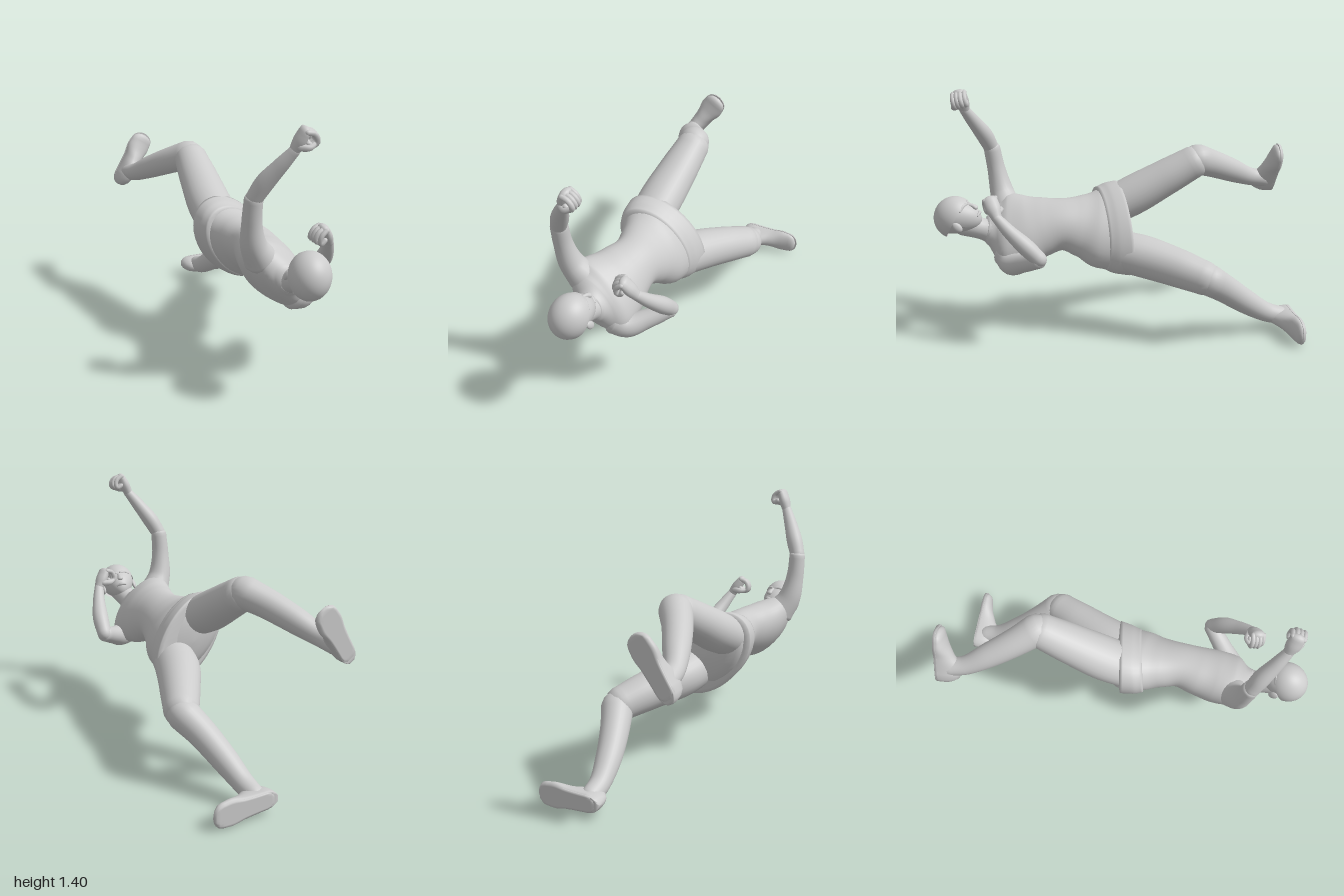
import * as THREE from 'three';

const V = (x, y, z) => new THREE.Vector3(x, y, z);
const mat = new THREE.MeshStandardMaterial({ color: 0xcccccc });
const ACROSS = V(0.66, -0.75, 0); // shoulder-to-shoulder direction of the twisted torso

// Smooth closed loft through rows [x, y, z, radiusAlongRef, otherRadius], with domed ends
function loft(rows, ref = ACROSS, { seg = 24, steps = 20, bulge = 1, rule } = {}) {
  const path = new THREE.CatmullRomCurve3(rows.map(r => V(r[0], r[1], r[2])));
  const size = new THREE.CatmullRomCurve3(rows.map(r => V(r[3], r[4] ?? r[3], 0)), false, 'catmullrom', 0.4);
  const rings = [], dome = [0.06, 0.35, 0.65, 0.9];
  const add = (t, scale, shift) => rings.push({ t, scale, shift });
  dome.forEach(s => add(0, s, -Math.sqrt(1 - s * s)));
  for (let i = 0; i <= steps; i++) add(i / steps, 1, 0);
  [...dome].reverse().forEach(s => add(1, s, Math.sqrt(1 - s * s)));
  const pos = [], idx = [];
  rings.forEach(({ t, scale, shift }) => {
    const c = path.getPoint(t), tan = path.getTangent(t), s = size.getPoint(t);
    const e1 = ref.clone().addScaledVector(tan, -ref.dot(tan)).normalize();
    const e2 = tan.clone().cross(e1);
    c.addScaledVector(tan, shift * bulge * Math.min(s.x, s.y));
    for (let j = 0; j < seg; j++) {
      const q = (j / seg) * Math.PI * 2;
      const p = c.clone().addScaledVector(e1, Math.cos(q) * s.x * scale)
        .addScaledVector(e2, Math.sin(q) * s.y * scale);
      if (rule) rule(p);
      pos.push(p.x, p.y, p.z);
    }
  });
  const n = rings.length - 1;
  for (let i = 0; i < n; i++) {
    for (let j = 0; j < seg; j++) {
      const a = i * seg + j, b = i * seg + (j + 1) % seg;
      idx.push(a, b, a + seg, b, b + seg, a + seg);
    }
  }
  // close both poles
  for (let j = 1; j < seg - 1; j++) {
    idx.push(0, j + 1, j, n * seg, n * seg + j, n * seg + j + 1);
  }
  const g = new THREE.BufferGeometry();
  g.setAttribute('position', new THREE.Float32BufferAttribute(pos, 3));
  g.setIndex(idx);
  g.computeVertexNormals();
  return g;
}

function part(parent, name, geometry) {
  const m = new THREE.Mesh(geometry, mat);
  m.name = name;
  parent.add(m);
  return m;
}

// Fist: palm from wrist to knuckles, four fingers curled towards `curl`, and a thumb
function fist(name, wrist, knuckle, curl) {
  const g = new THREE.Group();
  g.name = name;
  const up = knuckle.clone().sub(wrist).normalize();
  const c = curl.clone().addScaledVector(up, -curl.dot(up)).normalize();
  const side = up.clone().cross(c);
  const at = (u, f, s) => knuckle.clone().addScaledVector(up, u).addScaledVector(c, f).addScaledVector(side, s);
  const row = (p, a, b) => [p.x, p.y, p.z, a, b];
  part(g, 'palm', loft([row(wrist, 0.028, 0.026), row(wrist.clone().lerp(knuckle, 0.5), 0.04, 0.031),
    row(knuckle, 0.04, 0.025)], side, { seg: 16, steps: 8 }));
  for (let i = 0; i < 4; i++) {
    const s = (i - 1.5) * 0.02, k = i === 3 ? -0.01 : 0;
    const pts = [at(0.006, 0, s), at(0.012 + k, 0.036, s), at(-0.015 + k, 0.068 + k, s),
      at(-0.044, 0.053, s), at(-0.04, 0.03, s)];
    part(g, 'finger', loft(pts.map(p => row(p, 0.0135)), side, { seg: 8, steps: 10 }));
  }
  const thumb = [at(-0.07, 0.005, -0.025), at(-0.055, 0.035, -0.042), at(-0.03, 0.062, -0.03)];
  part(g, 'thumb', loft(thumb.map((p, i) => row(p, 0.019 - i * 0.003)), up, { seg: 8, steps: 8 }));
  return g;
}

// Shoe standing on the plane z = -1, running from heel to toe
function shoe(name, heel, toe) {
  const g = new THREE.Group();
  g.name = name;
  const dir = V(toe[0] - heel[0], toe[1] - heel[1], 0);
  const w = V(0, 0, 1).cross(dir).normalize();
  const rows = (grow, tall) => [[0, 0.048, 0.115], [0.22, 0.05, 0.115], [0.5, 0.055, 0.075], [0.78, 0.068, 0.045], [1, 0.064, 0.03]]
    .map(([t, a, b]) => [heel[0] + dir.x * t, heel[1] + dir.y * t, -0.978, a * grow, tall ?? b]);
  part(g, 'upper', loft(rows(1), w, { bulge: 1.4, rule: p => { p.z = Math.max(p.z, -0.998); } }));
  part(g, 'sole', loft(rows(1.05, 0.045), w, { bulge: 1.15, rule: p => { p.z = THREE.MathUtils.clamp(p.z, -1, -0.982); } }));
  return g;
}

function makeHead() {
  const g = new THREE.Group();
  g.name = 'head';
  const up = V(-0.1, 0.68, 0.72).normalize();
  const fwd = V(0.25, 0.7, -0.68);
  fwd.addScaledVector(up, -fwd.dot(up)).normalize();
  g.quaternion.setFromRotationMatrix(new THREE.Matrix4().makeBasis(up.clone().cross(fwd), up, fwd));
  g.position.set(-0.08, 0.695, 0.89);
  // skull narrowing into a forward jaw
  const skull = new THREE.SphereGeometry(1, 40, 28);
  const p = skull.attributes.position;
  for (let i = 0; i < p.count; i++) {
    const x = p.getX(i), y = p.getY(i), z = p.getZ(i), t = Math.max(0, -y);
    p.setXYZ(i, x * 0.1 * (1 - 0.2 * t), y * (y > 0 ? 0.108 : 0.13), z * 0.116 * (1 - 0.15 * t) + 0.06 * t);
  }
  skull.computeVertexNormals();
  part(g, 'face', skull);
  // close-fitting cap, tilted back off the brow
  const cap = part(g, 'cap', new THREE.SphereGeometry(1, 40, 20, 0, Math.PI * 2, 0, Math.PI * 0.54));
  cap.scale.set(0.105, 0.113, 0.12);
  cap.rotation.x = -0.25;
  cap.material = mat.clone();
  cap.material.side = THREE.DoubleSide;
  part(g, 'nose', loft([[0, -0.005, 0.112, 0.009, 0.008], [0, -0.03, 0.125, 0.013, 0.012], [0, -0.048, 0.131, 0.018, 0.012]],
    V(1, 0, 0), { seg: 12, steps: 8 }));
  part(g, 'lips', loft([[-0.026, -0.084, 0.112, 0.006], [0, -0.082, 0.122, 0.01], [0.026, -0.084, 0.112, 0.006]],
    V(0, 1, 0), { seg: 10, steps: 8 }));
  for (const s of [-1, 1]) {
    part(g, 'brow', loft([[s * 0.014, 0.004, 0.112, 0.008], [s * 0.04, 0.01, 0.102, 0.01], [s * 0.068, 0.004, 0.082, 0.007]],
      V(0, 1, 0), { seg: 10, steps: 8 }));
    const ear = part(g, 'ear', new THREE.SphereGeometry(1, 16, 12));
    ear.scale.set(0.012, 0.032, 0.021);
    ear.position.set(s * 0.099, -0.042, 0.016);
    ear.rotation.y = s * -0.35;
  }
  return g;
}

export function createModel() {
  const model = new THREE.Group();
  model.name = 'recliningFigure';

  // torso, neck and hem
  part(model, 'torso', loft([
    [-0.055, 0.6, -0.02, 0.25, 0.155], [-0.06, 0.605, 0.1, 0.235, 0.152], [-0.06, 0.622, 0.2, 0.182, 0.13],
    [-0.06, 0.635, 0.3, 0.15, 0.118], [-0.073, 0.622, 0.4, 0.172, 0.128], [-0.082, 0.605, 0.5, 0.206, 0.134],
    [-0.088, 0.602, 0.6, 0.224, 0.12], [-0.09, 0.605, 0.66, 0.172, 0.094], [-0.085, 0.61, 0.705, 0.09, 0.07]],
  ACROSS, { seg: 40, steps: 40, bulge: 0.4 }));
  part(model, 'hem', loft([
    [-0.06, 0.605, 0.085, 0.246, 0.157], [-0.059, 0.602, 0.03, 0.27, 0.174], [-0.056, 0.602, -0.04, 0.283, 0.184]],
  ACROSS, { seg: 40, steps: 10, bulge: 0.06, rule: p => { p.z -= 0.2 * (p.x + 0.06); } }));
  part(model, 'neck', loft([[-0.085, 0.595, 0.66, 0.085, 0.075], [-0.08, 0.62, 0.74, 0.06, 0.06], [-0.08, 0.655, 0.84, 0.067]]));
  part(model, 'collar', loft([[-0.086, 0.605, 0.675, 0.1, 0.08], [-0.083, 0.615, 0.715, 0.072, 0.066]], ACROSS, { bulge: 0.15 }));
  model.add(makeHead());

  // raised arm
  part(model, 'raisedSleeve', loft([[-0.19, 0.7, 0.6, 0.085], [-0.242, 0.79, 0.626, 0.066], [-0.264, 0.92, 0.652, 0.05],
    [-0.265, 1.04, 0.672, 0.046]], V(0, 0, 1), { bulge: 0.5 }));
  part(model, 'raisedForearm', loft([[-0.265, 1.04, 0.675, 0.042], [-0.228, 1.12, 0.71, 0.046], [-0.175, 1.21, 0.765, 0.037],
    [-0.128, 1.285, 0.81, 0.027]], V(0, 0, 1)));
  model.add(fist('raisedHand', V(-0.128, 1.285, 0.808), V(-0.09, 1.375, 0.832), V(1, -0.25, 0.1)));

  // bent arm
  part(model, 'bentSleeve', loft([[0.0, 0.485, 0.6, 0.085], [0.055, 0.46, 0.587, 0.068], [0.14, 0.488, 0.525, 0.052],
    [0.235, 0.535, 0.445, 0.045]], V(0, 1, 0), { bulge: 0.6 }));
  part(model, 'bentForearm', loft([[0.238, 0.54, 0.445, 0.041], [0.225, 0.61, 0.515, 0.046], [0.192, 0.69, 0.6, 0.036],
    [0.16, 0.755, 0.66, 0.027]], V(1, 0, 0)));
  model.add(fist('bentHand', V(0.16, 0.755, 0.66), V(0.11, 0.838, 0.69), V(-1, -0.5, 0.1)));

  // legs: shorts to the knee, then the shin
  part(model, 'raisedThigh', loft([[-0.14, 0.7, 0.02, 0.12, 0.108], [-0.135, 0.775, -0.13, 0.124, 0.112],
    [-0.12, 0.87, -0.3, 0.112, 0.102], [-0.105, 0.96, -0.46, 0.095, 0.091]], V(1, 0, 0), { seg: 28, bulge: 0.7 }));
  part(model, 'raisedShin', loft([[-0.11, 0.968, -0.48, 0.087], [-0.178, 0.925, -0.58, 0.078], [-0.25, 0.865, -0.71, 0.069],
    [-0.312, 0.805, -0.84, 0.053], [-0.33, 0.785, -0.93, 0.05]], V(1, 0, 0), { seg: 28 }));
  model.add(shoe('raisedFoot', [-0.352, 0.76], [-0.22, 0.96]));

  part(model, 'lowerThigh', loft([[0.03, 0.505, 0.03, 0.11, 0.11], [0.08, 0.475, -0.13, 0.122, 0.118],
    [0.18, 0.43, -0.32, 0.107], [0.258, 0.39, -0.46, 0.093]], V(1, 0, 0), { seg: 28, bulge: 0.7 }));
  part(model, 'lowerShin', loft([[0.26, 0.38, -0.48, 0.087], [0.21, 0.305, -0.58, 0.078], [0.162, 0.205, -0.71, 0.069],
    [0.132, 0.12, -0.84, 0.056], [0.126, 0.09, -0.93, 0.052]], V(1, 0, 0), { seg: 28 }));
  model.add(shoe('lowerFoot', [0.1, 0.085], [0.35, 0.075]));

  return model;
}
